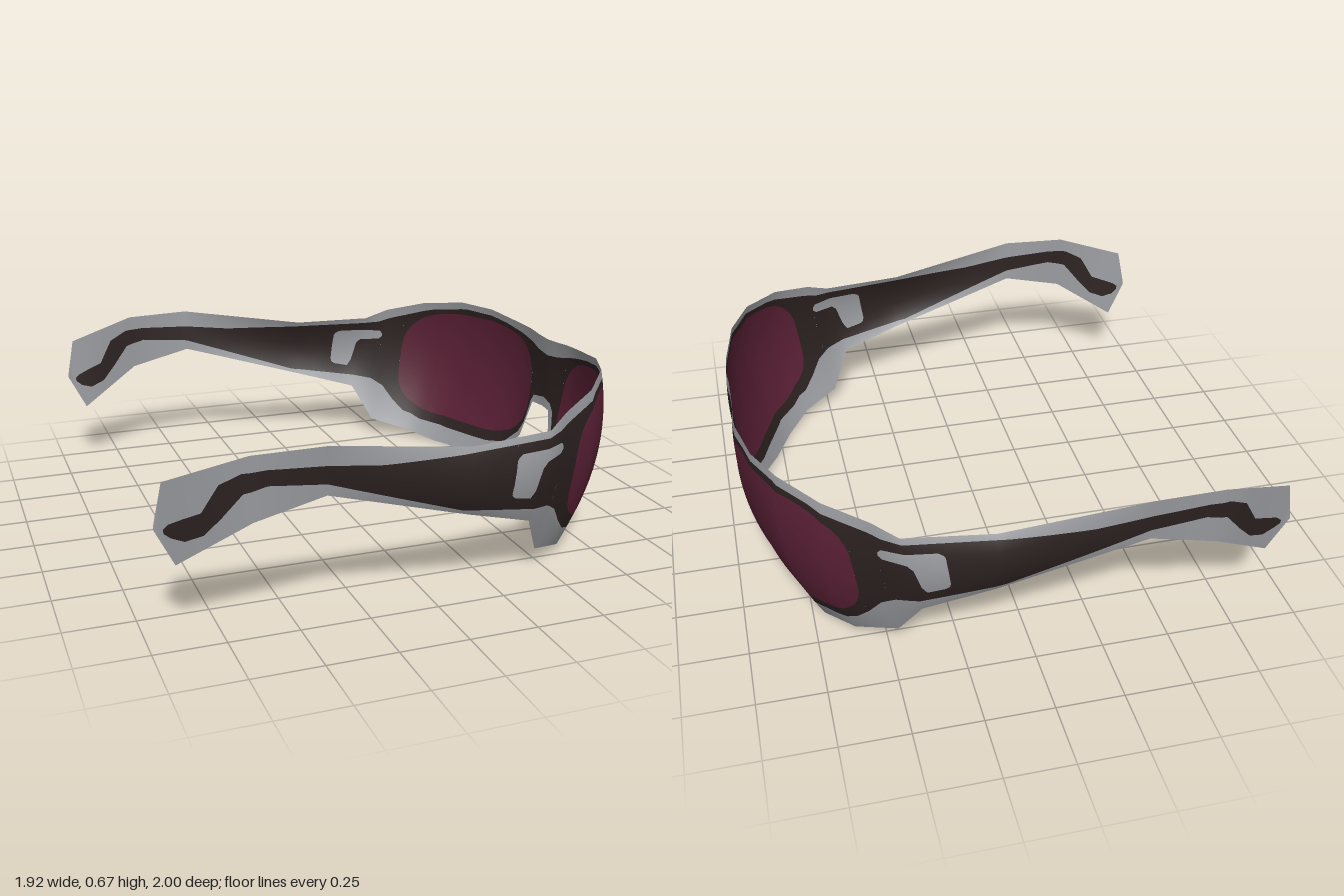
import * as THREE from 'three';

const material = (name, color) =>
  new THREE.MeshStandardMaterial({ name, color, side: THREE.DoubleSide });

// Cross-sections of one half, from the bridge round to the ear tip:
// distance along the wrap, top xyz, bottom xyz, outward bulge x and z
const SECTIONS = [
  [0.00, 0.945, 0.625, 0.00, 0.935, 0.33, 0.00, 0.005, 0],
  [0.075, 0.945, 0.63, 0.08, 0.925, 0.33, 0.07, 0.01, 0],
  [0.14, 0.95, 0.635, 0.15, 0.90, 0.16, 0.125, 0.025, 0],
  [0.24, 0.945, 0.64, 0.24, 0.86, 0.048, 0.235, 0.04, 0.005],
  [0.46, 0.905, 0.66, 0.45, 0.78, 0.01, 0.42, 0.05, 0.02],
  [0.66, 0.83, 0.665, 0.61, 0.705, 0.0, 0.60, 0.055, 0.03],
  [0.86, 0.70, 0.64, 0.76, 0.61, 0.03, 0.73, 0.04, 0.035],
  [1.04, 0.55, 0.60, 0.85, 0.465, 0.072, 0.82, 0.02, 0.025],
  [1.17, 0.46, 0.555, 0.90, 0.39, 0.225, 0.90, 0, 0.03],
  [1.455, 0.135, 0.55, 0.945, 0.135, 0.30, 0.94, 0, 0.033],
  [1.99, -0.40, 0.635, 1.00, -0.40, 0.46, 0.985, 0, 0],
  [2.245, -0.66, 0.63, 0.99, -0.65, 0.40, 0.985, 0, 0],
  [2.50, -0.93, 0.556, 0.93, -0.89, 0.255, 0.905, 0, 0],
  [2.55, -0.96, 0.405, 0.92, -0.96, 0.395, 0.92, 0, 0],
];

// Dark frame: distance, lower y, upper y
const FRAME = [
  [0, 0.37, 0.555], [0.075, 0.36, 0.565], [0.1, 0.33, 0.57], [0.12, 0.26, 0.575],
  [0.16, 0.17, 0.585], [0.24, 0.095, 0.60], [0.35, 0.075, 0.62], [0.46, 0.07, 0.63],
  [0.63, 0.07, 0.635], [0.8, 0.085, 0.615], [0.9, 0.115, 0.59], [0.96, 0.165, 0.575],
  [1.02, 0.23, 0.56], [1.08, 0.262, 0.54], [1.17, 0.275, 0.53], [1.49, 0.325, 0.53],
  [1.79, 0.43, 0.54], [1.99, 0.50, 0.565], [2.19, 0.52, 0.575], [2.27, 0.50, 0.57],
  [2.34, 0.42, 0.535], [2.40, 0.36, 0.44], [2.46, 0.34, 0.42], [2.50, 0.355, 0.405],
  [2.52, 0.375, 0.39],
];

// Hinge plate: distance, lower y, upper y
const PLATE = [
  [1.055, 0.468, 0.482], [1.07, 0.455, 0.495], [1.165, 0.448, 0.495], [1.18, 0.43, 0.495],
  [1.19, 0.35, 0.495], [1.205, 0.322, 0.495], [1.27, 0.335, 0.495], [1.285, 0.345, 0.485],
  [1.29, 0.36, 0.475],
];

const LENS = { mid: 0.545, half: 0.41, y: 0.36, height: 0.246, power: 3.2 };

// Linear lookup in a table keyed by its first column
function lookup(table, a) {
  let i = 1;
  while (i < table.length - 1 && a > table[i][0]) i++;
  const p = table[i - 1], q = table[i];
  const t = THREE.MathUtils.clamp((a - p[0]) / (q[0] - p[0]), 0, 1);
  return p.map((value, k) => value + (q[k] - value) * t);
}

// Point on the curved shell at distance a and height fraction v
function shellPoint(a, v) {
  const [, tx, ty, tz, bx, by, bz, ox, oz] = lookup(SECTIONS, Math.abs(a));
  const bulge = 4 * v * (1 - v);
  const z = bz + (tz - bz) * v + oz * bulge;
  return new THREE.Vector3(bx + (tx - bx) * v + ox * bulge, by + (ty - by) * v, a < 0 ? -z : z);
}

function shellNormal(a, v) {
  const along = shellPoint(Math.min(a + 0.09, 2.55), v).sub(shellPoint(a - 0.09, v));
  const up = shellPoint(a, v + 0.05).sub(shellPoint(a, v - 0.05));
  return up.cross(along).normalize();
}

// Region edges as functions of distance
const bottomEdge = (a) => lookup(SECTIONS, a)[5];
const topEdge = (a) => lookup(SECTIONS, a)[2];
const frameLow = (a) => lookup(FRAME, a)[1];
const frameHigh = (a) => lookup(FRAME, a)[2];
const plateLow = (a) => lookup(PLATE, a)[1];
const plateHigh = (a) => lookup(PLATE, a)[2];
function lensEdge(a, sign) {
  const t = Math.min(1, Math.abs(a - LENS.mid) / LENS.half);
  return LENS.y + sign * LENS.height * Math.pow(1 - Math.pow(t, LENS.power), 1 / LENS.power);
}
const lensLow = (a) => lensEdge(a, -1);
const lensHigh = (a) => lensEdge(a, 1);

// Shared stations along the wrap, so neighbouring regions meet exactly
const lensStart = LENS.mid - LENS.half, lensEnd = LENS.mid + LENS.half;
const stations = [...SECTIONS, ...FRAME, ...PLATE].map((row) => row[0]);
for (let i = 0; i <= 100; i++) stations.push(i * 0.0255);
for (let i = 0; i <= 48; i++) stations.push(LENS.mid - LENS.half * Math.cos((i / 48) * Math.PI));
stations.push(lensStart, lensEnd);
stations.sort((p, q) => p - q);

// Strip of shell between two edges, on the side given by s
function strip(name, mat, from, to, low, high, rows, s) {
  const list = stations.filter((a, i) =>
    a >= from - 1e-6 && a <= to + 1e-6 && (i === 0 || a - stations[i - 1] > 1e-7));
  const position = [], normal = [], index = [];
  list.forEach((a, i) => {
    const y0 = bottomEdge(a), y1 = topEdge(a);
    for (let j = 0; j <= rows; j++) {
      const y = low(a) + (high(a) - low(a)) * (j / rows);
      const v = THREE.MathUtils.clamp((y - y0) / (y1 - y0), 0, 1);
      const p = shellPoint(a, v), n = shellNormal(a, v);
      position.push(p.x, p.y, p.z * s);
      normal.push(n.x, n.y, n.z * s);
      if (i === 0 || j === 0) continue;
      const d = i * (rows + 1) + j, c = d - 1, b = d - rows - 1, e = b - 1;
      if (s > 0) index.push(e, b, c, b, d, c);
      else index.push(e, c, b, b, c, d);
    }
  });
  const geometry = new THREE.BufferGeometry();
  geometry.setAttribute('position', new THREE.Float32BufferAttribute(position, 3));
  geometry.setAttribute('normal', new THREE.Float32BufferAttribute(normal, 3));
  geometry.setIndex(index);
  const mesh = new THREE.Mesh(geometry, mat);
  mesh.name = name;
  return mesh;
}

export function createModel() {
  const grey = material('pale grey rim', 0x999a9e);
  const dark = material('dark brown frame', 0x2b2120);
  const red = material('burgundy lens', 0x5a2035);
  const model = new THREE.Group();
  model.name = 'sunglasses';
  const end = 2.55, frameEnd = 2.52, plateStart = 1.055, plateEnd = 1.29;

  for (const s of [1, -1]) {
    const half = new THREE.Group();
    half.name = s > 0 ? 'frontSideHalf' : 'backSideHalf';
    const add = (...args) => half.add(strip(...args, s));

    // Pale rim around the frame
    add('lowerRim', grey, 0, frameEnd, bottomEdge, frameLow, 3);
    add('upperRim', grey, 0, frameEnd, frameHigh, topEdge, 3);
    add('earTip', grey, frameEnd, end, bottomEdge, topEdge, 3);

    // Dark frame around the lens and hinge plate
    add('bridge', dark, 0, lensStart, frameLow, frameHigh, 8);
    add('lowerLensFrame', dark, lensStart, lensEnd, frameLow, lensLow, 4);
    add('upperLensFrame', dark, lensStart, lensEnd, lensHigh, frameHigh, 4);
    add('cheek', dark, lensEnd, plateStart, frameLow, frameHigh, 8);
    add('lowerHinge', dark, plateStart, plateEnd, frameLow, plateLow, 4);
    add('upperHinge', dark, plateStart, plateEnd, plateHigh, frameHigh, 3);
    add('templeArm', dark, plateEnd, frameEnd, frameLow, frameHigh, 5);

    // Lens and hinge plate
    add('lens', red, lensStart, lensEnd, lensLow, lensHigh, 12);
    add('hingePlate', grey, plateStart, plateEnd, plateLow, plateHigh, 4);
    model.add(half);
  }
  return model;
}
